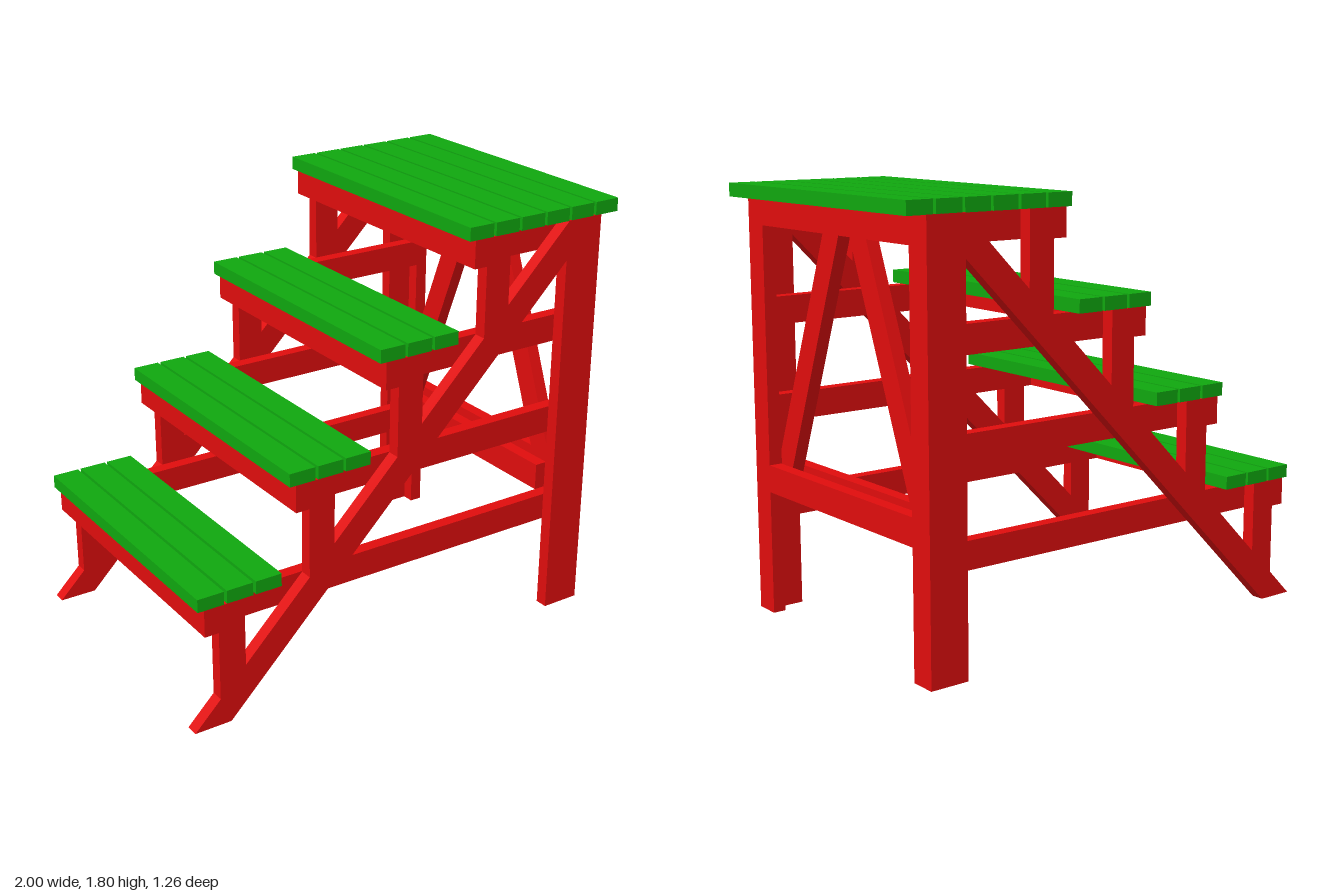
import * as THREE from 'three';

const red = new THREE.MeshStandardMaterial({ color: 0xe00d0d });
const green = new THREE.MeshStandardMaterial({ color: 0x10a80f });

const T = 0.055;                 // board thickness
const IN = 0.52, MID = 0.575, OUT = 0.63; // layers of the side frames in z
const POST0 = 0.745, POST1 = 0.915;       // rear post in x
const RISE = 0.408;              // step pitch, same in x and y

export function createModel() {
  const model = new THREE.Group();

  const add = (geometry, material, name) => {
    const mesh = new THREE.Mesh(geometry, material);
    mesh.name = name;
    model.add(mesh);
    return mesh;
  };

  // Board given by its extents on each axis
  const board = (name, x0, x1, y0, y1, z0, z1, material = red) => {
    const g = new THREE.BoxGeometry(x1 - x0, y1 - y0, z1 - z0);
    g.translate((x0 + x1) / 2, (y0 + y1) / 2, (z0 + z1) / 2);
    return add(g, material, name);
  };

  // The same board on both sides of the frame
  const pair = (name, x0, x1, y0, y1, z0, z1) => {
    board(name, x0, x1, y0, y1, z0, z1);
    board(name, x0, x1, y0, y1, -z1, -z0);
  };

  // Board with an angled outline, extruded by the board thickness
  const cutBoard = (points) => new THREE.ExtrudeGeometry(
    new THREE.Shape(points.map(([a, b]) => new THREE.Vector2(a, b))),
    { depth: T, bevelEnabled: false });
  const cutPair = (name, points) => {
    for (const z of [MID, -OUT]) add(cutBoard(points).translate(0, 0, z), red, name);
  };

  // Sloping stringers
  cutPair('stringer', [[-1, 0], [-0.84, 0], [POST0, 1.585], [POST0, 1.745]]);

  // Four levels: uprights, side rails, front beam and slats
  for (let i = 0; i < 4; i++) {
    const x = -0.945 + RISE * i;
    const top = 0.525 + RISE * i;
    const low = top - 0.115;
    const u0 = x + 0.06, u1 = x + 0.175;
    cutPair('upright', [[u0, u0 + 1], [u1, u1 + 1], [u1, top], [u0, top]]);
    pair('sideRail', u0, POST1 - T, low, top, IN, MID);
    board('frontBeam', x, u0, low, top, -OUT, OUT);

    const count = i === 3 ? 6 : 3;
    for (let j = 0; j < count; j++) {
      const s = x - 0.027 + 0.1268 * j;
      board(i === 3 ? 'topSlat' : 'stepSlat', s, s + 0.114, top, top + T, -OUT, OUT, green);
    }
  }

  // Rear posts, each of two boards in an L
  pair('postSideBoard', POST0, POST1, 0, 1.75, MID, OUT);
  pair('postBackBoard', POST1 - T, POST1, 0, 1.75, IN, MID);

  // Doubled beams between the posts, holding the braces between them
  for (const [name, y0, y1] of [['lowerBackBeam', 0.525, 0.64], ['upperBackBeam', 1.635, 1.75]]) {
    board(name, POST1 - T, POST1, y0, y1, -IN, IN);
    board(name, POST0, POST0 + T, y0, y1, -IN, IN);
  }

  // Slanted braces, outlined in z and y
  const outline = [[0.475, 0.525], [IN, 0.525], [IN, 0.7], [0.105, 1.75], [0, 1.75], [0, 1.725]];
  for (const side of [1, -1]) {
    const g = cutBoard(outline.map(([z, y]) => [-side * z, y]));
    g.rotateY(Math.PI / 2).translate(POST0 + T + 0.002, 0, 0);
    add(g, red, 'backBrace');
  }

  return model;
}
